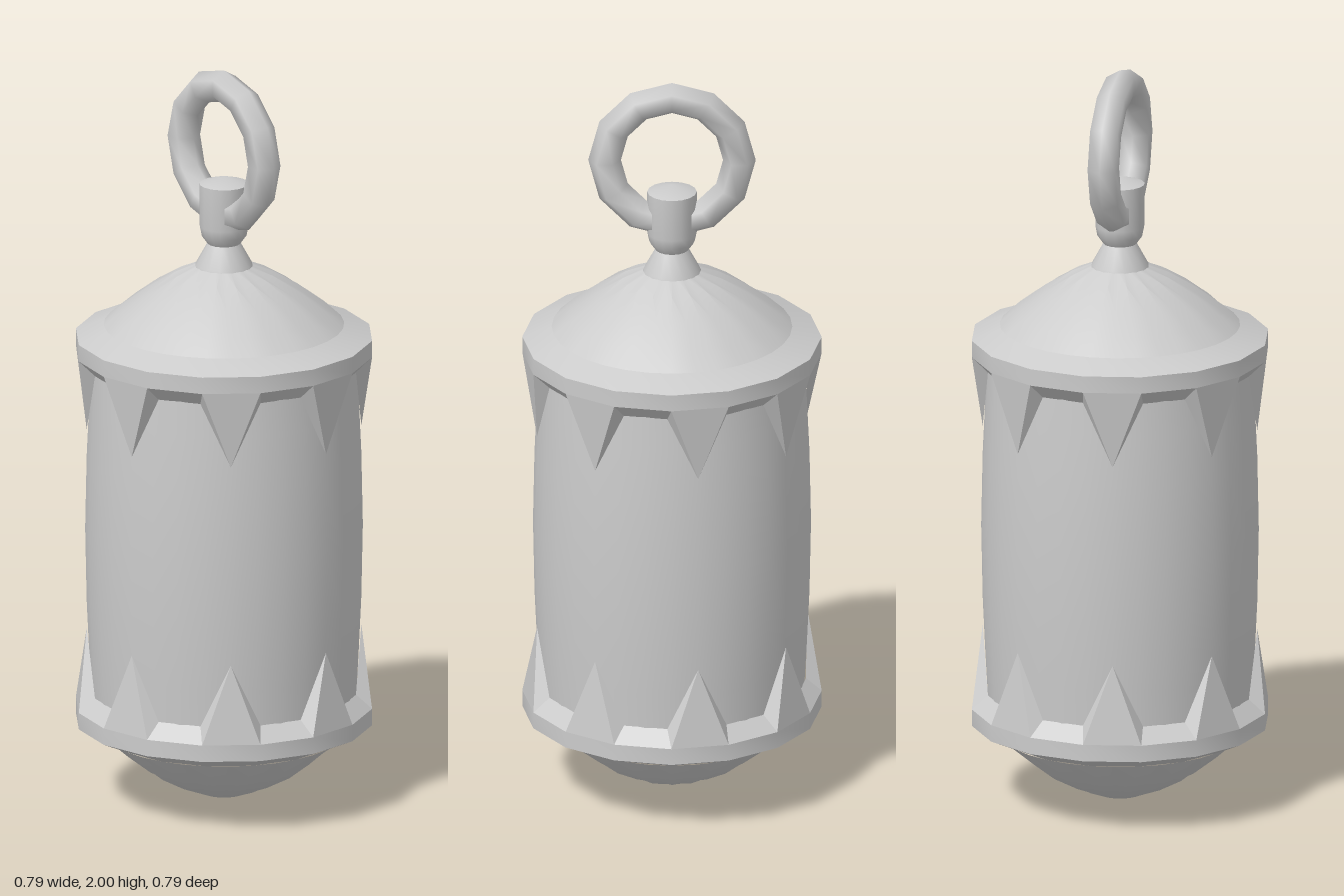
import * as THREE from 'three';
import { toCreasedNormals } from 'three/addons/utils/BufferGeometryUtils.js';

const SIDES = 16;
const STEP = (Math.PI * 2) / SIDES;
const RIM = 0.393;
const material = new THREE.MeshStandardMaterial({ color: 0xcccccc });

function addPart(group, name, geometry, crease = 0.5) {
  const mesh = new THREE.Mesh(toCreasedNormals(geometry, crease), material);
  mesh.name = name;
  group.add(mesh);
  return mesh;
}

// Profile points run from bottom to top so the faces look outward
function turned(points, sides = SIDES) {
  return new THREE.LatheGeometry(points.map(([r, y]) => new THREE.Vector2(r, y)), sides);
}

// Shallow ribs: every second column of the fluted rows is pushed up or down
function flute(geometry, rMin, rMax, depth) {
  const p = geometry.attributes.position;
  for (let i = 0; i < p.count; i++) {
    const x = p.getX(i), z = p.getZ(i), r = Math.hypot(x, z);
    const column = Math.round(Math.atan2(x, z) / (STEP / 2));
    if (r > rMin && r < rMax && column % 2 !== 0) p.setY(i, p.getY(i) + depth);
  }
  geometry.computeVertexNormals();
  return geometry;
}

// Eight pointed teeth joined by sloping ledges, reaching from the rim to the body
function toothGeometry(rimY, ledgeY, tipY) {
  const positions = [];
  const flip = tipY > rimY;
  const at = (angle, r, y) => [Math.sin(angle) * r, y, Math.cos(angle) * r];
  const tri = (a, b, c) => positions.push(...a, ...(flip ? c : b), ...(flip ? b : c));
  for (let k = 0; k < SIDES; k += 2) {
    const a = k * STEP;
    const inset = 0.03;
    const v0 = at(a, RIM, rimY);
    const v1 = at(a + STEP, RIM, rimY);
    const v2 = at(a + 2 * STEP, RIM, rimY);
    const tip = at(a + STEP / 2, 0.361, tipY);
    const before = at(a - inset, 0.352, ledgeY);
    const g1 = at(a + STEP + inset, 0.352, ledgeY);
    const g2 = at(a + 2 * STEP - inset, 0.352, ledgeY);
    tri(tip, v1, v0);
    tri(tip, g1, v1);
    tri(before, tip, v0);
    tri(g1, g2, v2);
    tri(g1, v2, v1);
  }
  const geometry = new THREE.BufferGeometry();
  geometry.setAttribute('position', new THREE.Float32BufferAttribute(positions, 3));
  geometry.computeVertexNormals();
  return geometry;
}

export function createModel() {
  const model = new THREE.Group();
  model.name = 'hangingCapsule';

  // Slightly barrel-shaped body
  addPart(model, 'body', turned([
    [0.345, 0.24], [0.354, 0.4], [0.361, 0.55], [0.365, 0.75],
    [0.361, 0.95], [0.354, 1.1], [0.345, 1.26],
  ], 32));

  // Rims with their teeth
  addPart(model, 'upperRim', turned([[RIM, 1.23], [RIM, 1.275], [0.316, 1.305]]));
  addPart(model, 'lowerRim', turned([[0.316, 0.185], [RIM, 0.22], [RIM, 0.265]]));
  addPart(model, 'upperTeeth', toothGeometry(1.23, 1.19, 1.02), 0.1);
  addPart(model, 'lowerTeeth', toothGeometry(0.265, 0.305, 0.475), 0.1);

  // Fluted roof and base
  const roof = turned([[0.316, 1.305], [0.27, 1.348], [0.2, 1.4], [0.13, 1.442], [0.07, 1.468]], 32);
  addPart(model, 'roof', flute(roof, 0.1, 0.29, -0.007));
  const base = turned([[0, 0.005], [0.06, 0.022], [0.13, 0.05], [0.2, 0.088], [0.26, 0.135], [0.316, 0.185]], 32);
  addPart(model, 'base', flute(base, 0.1, 0.29, 0.007));

  // Neck and post
  addPart(model, 'neck', turned([[0.079, 1.455], [0.075, 1.47], [0.042, 1.53]]));
  addPart(model, 'post', turned([
    [0.042, 1.525], [0.06, 1.55], [0.065, 1.575], [0.065, 1.69], [0, 1.71],
  ]), 0.7);

  // Hanging ring threaded through the post
  const ring = addPart(model, 'ring', new THREE.TorusGeometry(0.177, 0.043, 6, 12), 1.2);
  ring.position.y = 1.78;

  return model;
}
